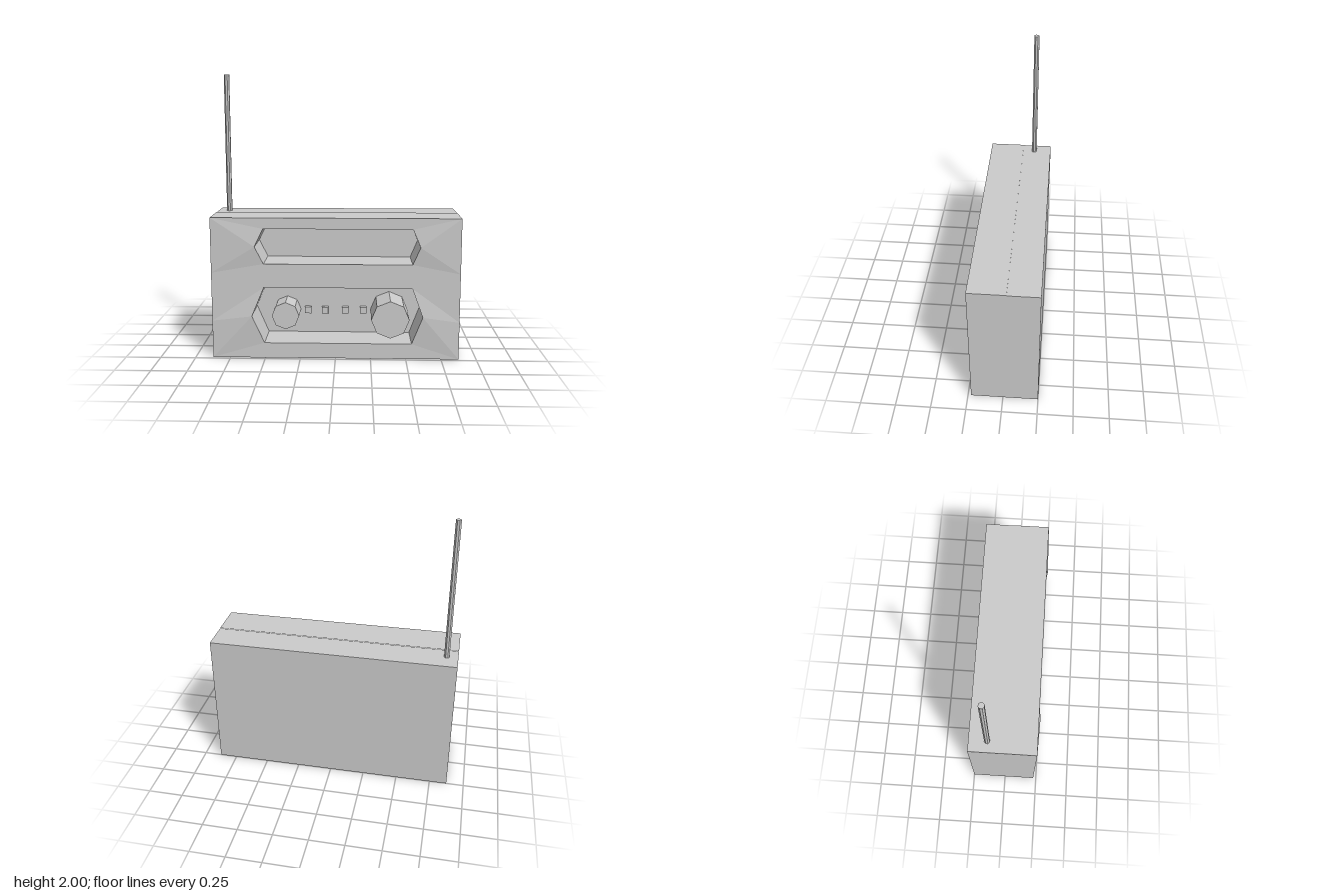
import * as THREE from 'three';

const mat = new THREE.MeshStandardMaterial({ color: 0xcccccc, flatShading: true });
const HALF = 0.875, TOP = 1.013, FRONT = 0.228, WALL = -0.03, BACK = -0.25;

// Six-sided recesses: straight top and bottom, pointed ends that bulge forward
const INNER_L = -0.505, INNER_R = 0.54;
const lower = { y0: 0.11, y1: 0.515, tipY: 0.31, tipL: -0.59, tipR: 0.615, tipZ: 0.247 };
const upper = { y0: 0.685, y1: 0.935, tipY: 0.81, tipL: -0.565, tipR: 0.592, tipZ: 0.243 };

function add(group, name, geometry, x, y, z) {
  const mesh = new THREE.Mesh(geometry, mat);
  mesh.name = name;
  mesh.position.set(x, y, z);
  group.add(mesh);
  return mesh;
}

function frontFrameGeometry() {
  const pos = [];
  const tri = (a, b, c) => pos.push(...a, ...b, ...c);
  const quad = (a, b, c, d) => { tri(a, b, c); tri(a, c, d); };
  const P = (x, y, z = FRONT) => [x, y, z];

  // Side panels, faceted around the recess tips
  for (const s of [-1, 1]) {
    const face = (a, b, c) => (s < 0 ? tri(a, b, c) : tri(a, c, b));
    const ix = s < 0 ? INNER_L : INNER_R;
    const tip = (r) => P(s < 0 ? r.tipL : r.tipR, r.tipY, r.tipZ);
    const [A, B, C, D] = [0, 0.27, 0.62, TOP].map((y) => P(s * HALF, y));
    const [i0, i1, i2, i3, i4, i5] =
      [0, lower.y0, lower.y1, upper.y0, upper.y1, TOP].map((y) => P(ix, y));
    const t1 = tip(lower), t2 = tip(upper);
    face(A, i0, i1);
    face(A, i1, t1);
    face(A, t1, B);
    face(B, t1, i2);
    face(B, i2, C);
    face(C, i2, i3);
    face(C, i3, t2);
    face(C, t2, D);
    face(D, t2, i4);
    face(D, i4, i5);
  }

  // Flat strips below, between and above the recesses
  for (const [a, b] of [[0, lower.y0], [lower.y1, upper.y0], [upper.y1, TOP]]) {
    quad(P(INNER_L, a), P(INNER_R, a), P(INNER_R, b), P(INNER_L, b));
  }

  // Walls running back from a closed outline
  const walls = (loop) => loop.forEach((a, i) => {
    const b = loop[(i + 1) % loop.length];
    quad(P(a[0], a[1], WALL), P(b[0], b[1], WALL), b, a);
  });
  walls([P(-HALF, 0), P(HALF, 0), P(HALF, TOP), P(-HALF, TOP)]);
  for (const r of [lower, upper]) {
    walls([
      P(INNER_L, r.y0), P(r.tipL, r.tipY, r.tipZ), P(INNER_L, r.y1),
      P(INNER_R, r.y1), P(r.tipR, r.tipY, r.tipZ), P(INNER_R, r.y0),
    ]);
  }

  const g = new THREE.BufferGeometry();
  g.setAttribute('position', new THREE.Float32BufferAttribute(pos, 3));
  g.computeVertexNormals();
  return g;
}

export function createModel() {
  const radio = new THREE.Group();
  radio.name = 'radio';

  // Case: solid rear block and recessed front frame
  add(radio, 'rearCase', new THREE.BoxGeometry(HALF * 2, 1.01, WALL - BACK),
    0, 0.505, (WALL + BACK) / 2);
  add(radio, 'frontFrame', frontFrameGeometry(), 0, 0, 0);

  // Eight-sided knobs standing on the back of the lower recess
  const knob = (name, x, y, r, front) => {
    const g = new THREE.CylinderGeometry(r, r, front - WALL, 8).rotateX(Math.PI / 2);
    add(radio, name, g, x, y, (front + WALL) / 2);
  };
  knob('smallKnob', -0.362, 0.285, 0.099, 0.15);
  knob('largeKnob', 0.388, 0.288, 0.135, 0.238);

  // Row of push buttons
  for (const x of [-0.208, -0.083, 0.067, 0.198]) {
    add(radio, 'button', new THREE.BoxGeometry(0.047, 0.047, 0.035), x, 0.285, WALL + 0.0175);
  }

  // Antenna
  add(radio, 'antenna',
    new THREE.CylinderGeometry(0.02, 0.02, 1, 8).rotateY(Math.PI / 8), -0.795, 1.5, -0.12);

  return radio;
}
